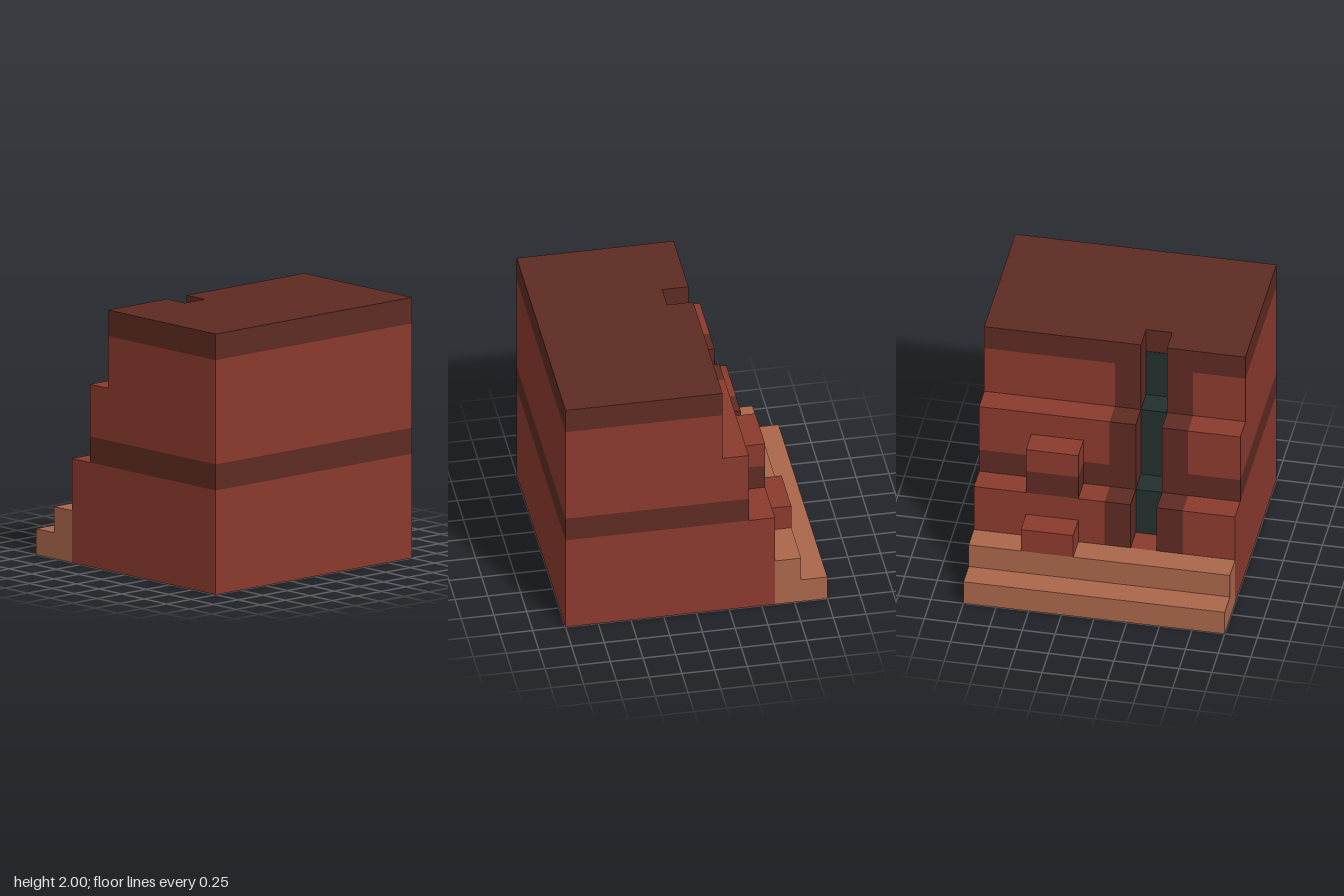
import * as THREE from 'three';

const material = (name, color) => {
  const m = new THREE.MeshStandardMaterial({ color });
  m.name = name;
  return m;
};

export function createModel() {
  const redRock = material('red rock', 0x8b3a2e);
  const darkRock = material('dark rock', 0x5e2b22);
  const sand = material('sand', 0xaa664a);
  const water = material('deep water', 0x22302f);

  const cliff = new THREE.Group();
  cliff.name = 'steppedCliff';

  // Block given by its [min, max] extent on each axis
  const block = (name, mat, [x0, x1], [y0, y1], [z0, z1]) => {
    const mesh = new THREE.Mesh(new THREE.BoxGeometry(x1 - x0, y1 - y0, z1 - z0), mat);
    mesh.position.set((x0 + x1) / 2, (y0 + y1) / 2, (z0 + z1) / 2);
    mesh.name = name;
    cliff.add(mesh);
  };

  // Rock strata above the base, stacked up to a given height
  const strata = [
    [0.4, 0.8, redRock],
    [0.8, 1.0, darkRock],
    [1.0, 1.8, redRock],
    [1.8, 2.0, darkRock],
  ];
  const layered = (name, x, z, top) => {
    for (const [y0, y1, mat] of strata) {
      if (y0 < top) block(name, mat, x, [y0, Math.min(y1, top)], z);
    }
  };

  // Base and main mass
  block('base', redRock, [-1, 1], [0, 0.4], [-0.6, 1]);
  layered('cliffBody', [-1, 1], [0, 1], 2);

  // Terraces stepping down towards the back, split by the channel
  const terraces = [
    { z: [-0.2, 0], top: 2, channelTop: 1.4 },
    { z: [-0.4, -0.2], top: 1.4, channelTop: 0.8 },
    { z: [-0.6, -0.4], top: 0.8, channelTop: 0.4 },
  ];
  for (const { z, top, channelTop } of terraces) {
    layered('terraceLeft', [0, 1], z, top);
    layered('terraceRight', [-1, -0.6], z, top);
    for (const x of [-0.6, -0.2]) block('channelBank', darkRock, [x, x + 0.2], [0.4, top], z);
    if (channelTop > 0.4) block('waterfall', water, [-0.4, -0.2], [0.4, channelTop], z);
  }
  // Top of the waterfall, against the main mass
  block('waterfallSource', water, [-0.4, -0.2], [1.4, 1.8], [-0.004, 0]);

  // Ledges sticking out of the terraces
  block('upperLedgeBand', darkRock, [0.2, 0.6], [0.8, 1], [-0.6, -0.4]);
  block('upperLedge', redRock, [0.2, 0.6], [1, 1.2], [-0.6, -0.4]);
  block('lowerLedge', redRock, [0.2, 0.6], [0.4, 0.6], [-0.8, -0.6]);

  // Sandy steps at the foot
  block('upperSandStep', sand, [-1, 1], [0, 0.4], [-0.8, -0.6]);
  block('lowerSandStep', sand, [-1, 1], [0, 0.2], [-1, -0.8]);

  return cliff;
}
